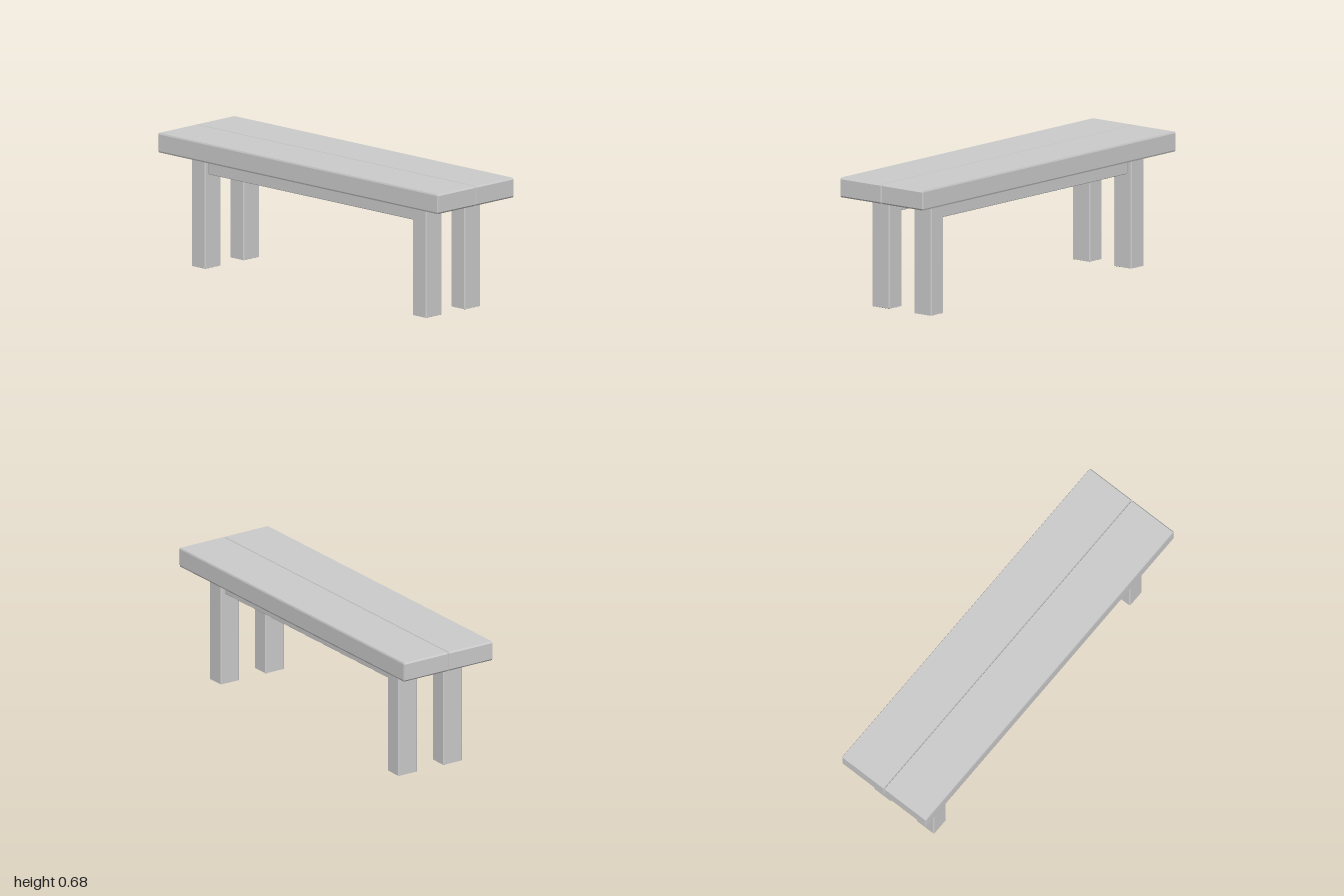
import * as THREE from 'three';
import { ConvexGeometry } from 'three/addons/geometries/ConvexGeometry.js';

const material = new THREE.MeshStandardMaterial({ color: 0xcccccc, flatShading: true });

// Box with chamfered edges; bevel gives the inset along each axis
function beam(name, size, position, bevel) {
  const points = [];
  for (const sx of [-1, 1]) for (const sy of [-1, 1]) for (const sz of [-1, 1]) {
    for (let face = 0; face < 3; face++) {
      const p = [sx, sy, sz].map((s, i) => s * (size[i] / 2 - (i === face ? 0 : bevel[i])));
      points.push(new THREE.Vector3(...p));
    }
  }
  const mesh = new THREE.Mesh(new ConvexGeometry(points), material);
  mesh.name = name;
  mesh.position.set(...position);
  return mesh;
}

export function createModel() {
  const bench = new THREE.Group();
  bench.name = 'bench';

  for (const side of [-1, 1]) {
    const label = side > 0 ? 'left' : 'right';

    // Seat plank, one on each side of the narrow centre gap
    bench.add(beam(label + 'SeatPlank', [0.272, 0.102, 2], [side * 0.137, 0.629, 0], [0.003, 0.008, 0.006]));

    // Rail running between the front and back legs
    bench.add(beam(label + 'Rail', [0.075, 0.08, 1.48], [side * 0.1375, 0.53, 0], [0.003, 0.003, 0.005]));

    // Front and back legs
    for (const end of [-1, 1]) {
      const name = label + (end > 0 ? 'Front' : 'Back') + 'Leg';
      bench.add(beam(name, [0.116, 0.57, 0.1], [side * 0.138, 0.285, end * 0.79], [0.006, 0.002, 0.005]));
    }
  }
  return bench;
}
